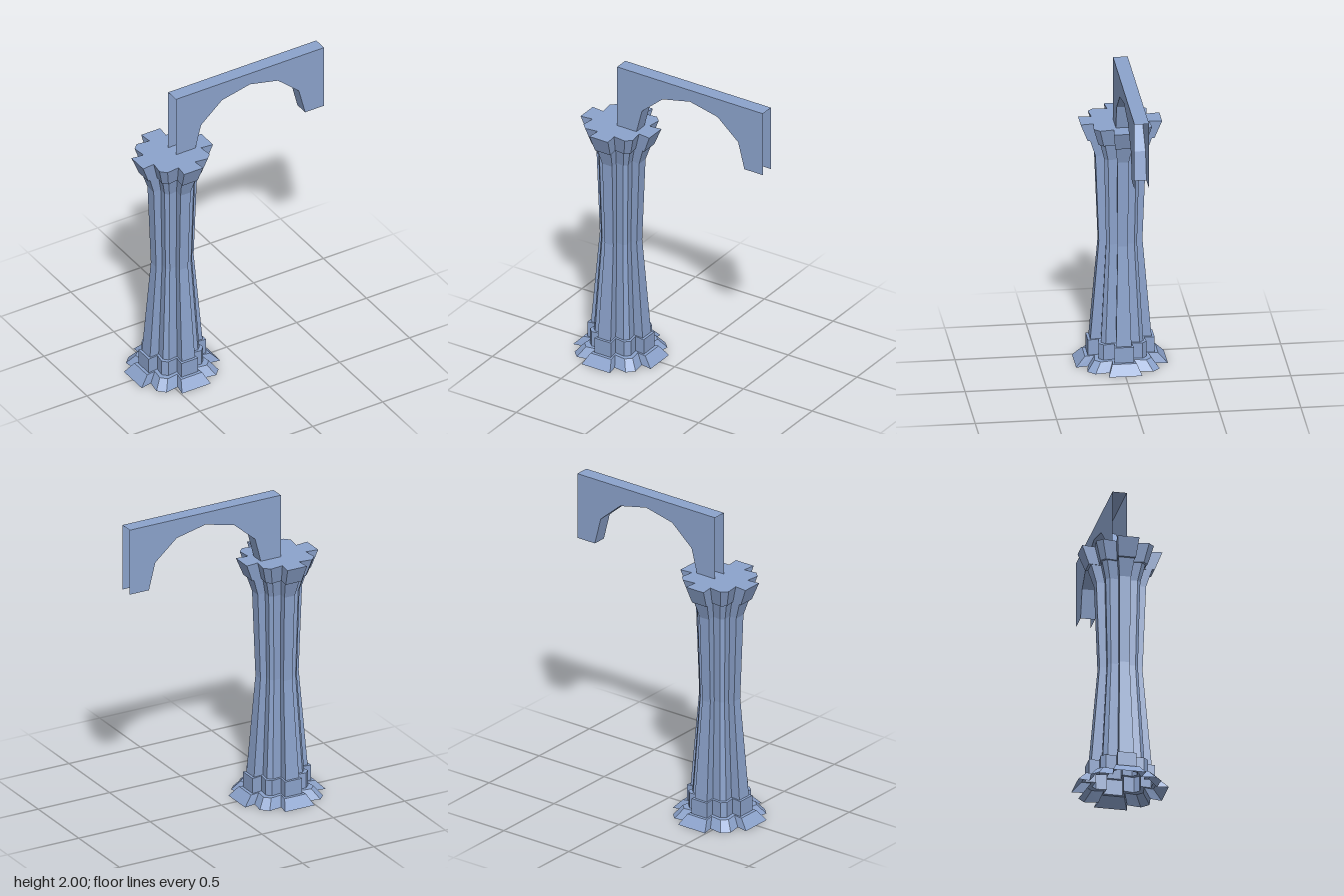
import * as THREE from 'three';

const stone = new THREE.MeshStandardMaterial({ color: 0x8ca3cc, flatShading: true, side: THREE.DoubleSide });
stone.name = 'blue stone';

function meshFrom(name, positions) {
  const g = new THREE.BufferGeometry();
  g.setAttribute('position', new THREE.Float32BufferAttribute(positions, 3));
  g.computeVertexNormals();
  const m = new THREE.Mesh(g, stone);
  m.name = name;
  return m;
}

// Eight-lobed outline: four square arms with a smaller lobe between each pair
function ring([y, reach, w, lobe]) {
  const quarter = [
    [reach, -w], [reach, w], [0.94 * lobe, 0.87 * w],
    [lobe, 0.8 * lobe], [0.8 * lobe, lobe], [0.87 * w, 0.94 * lobe],
  ];
  const pts = [];
  for (let q = 0; q < 4; q++) {
    const c = [1, 0, -1, 0][q], s = [0, 1, 0, -1][q];
    for (const [x, z] of quarter) pts.push([x * c - z * s, y, x * s + z * c]);
  }
  return pts;
}

// Skin the outlines together, leaving the underside open
function loft(name, sections, capped) {
  const rings = sections.map(ring), out = [];
  const n = rings[0].length;
  for (let r = 0; r < rings.length - 1; r++) {
    for (let i = 0; i < n; i++) {
      const j = (i + 1) % n, a = rings[r], b = rings[r + 1];
      out.push(...a[i], ...b[i], ...a[j], ...b[i], ...b[j], ...a[j]);
    }
  }
  if (capped) {
    const top = rings[rings.length - 1];
    for (let i = 0; i < n; i++) out.push(0, top[0][1], 0, ...top[(i + 1) % n], ...top[i]);
  }
  return meshFrom(name, out);
}

// Surface running along a path, across the thickness of the arch
function strip(name, path, half) {
  const out = [];
  for (let i = 0; i < path.length - 1; i++) {
    const [px, py] = path[i], [qx, qy] = path[i + 1];
    out.push(px, py, half, qx, qy, half, qx, qy, -half);
    out.push(px, py, half, qx, qy, -half, px, py, -half);
  }
  return meshFrom(name, out);
}

export function createModel() {
  const model = new THREE.Group();

  // Column sections: height, arm reach, arm half width, lobe reach
  const column = new THREE.Group();
  column.name = 'column';
  column.position.x = -0.39;
  column.add(
    loft('base', [
      [0, 0.282, 0.103, 0.222], [0.06, 0.225, 0.075, 0.175],
      [0.06, 0.205, 0.06, 0.148], [0.16, 0.205, 0.06, 0.148], [0.16, 0.188, 0.047, 0.13],
    ]),
    loft('shaft', [
      [0.16, 0.188, 0.047, 0.13], [0.8, 0.134, 0.031, 0.095], [1.365, 0.155, 0.036, 0.108],
    ]),
    loft('capital', [
      [1.365, 0.155, 0.036, 0.108], [1.475, 0.19, 0.05, 0.135],
      [1.475, 0.205, 0.055, 0.147], [1.59, 0.25, 0.068, 0.18],
    ], true),
  );
  model.add(column);

  // Arch: two side walls, a top and a soffit, with open ends and feet
  const arch = new THREE.Group();
  arch.name = 'arch';
  arch.position.set(0.14, 0, -0.002);
  const half = 0.045, w = 0.53;
  const rightCurve = [[0.395, 1.57], [0.35, 1.745], [0.2, 1.875]];
  const leftCurve = rightCurve.map(([x, y]) => [-x, y]).reverse();
  const soffit = [...rightCurve, [0, 1.92], ...leftCurve];
  const outline = [[-w, 1.57], [-w, 2], [w, 2], [w, 1.57], ...soffit];
  const wall = new THREE.ShapeGeometry(new THREE.Shape(outline.map(([x, y]) => new THREE.Vector2(x, y))));
  for (const side of [1, -1]) {
    const m = new THREE.Mesh(wall, stone);
    m.name = side > 0 ? 'archFront' : 'archBack';
    m.position.z = side * half;
    if (side < 0) m.rotation.y = Math.PI;
    arch.add(m);
  }
  arch.add(strip('archTop', [[-w, 2], [w, 2]], half), strip('archSoffit', soffit, half));
  model.add(arch);

  return model;
}
